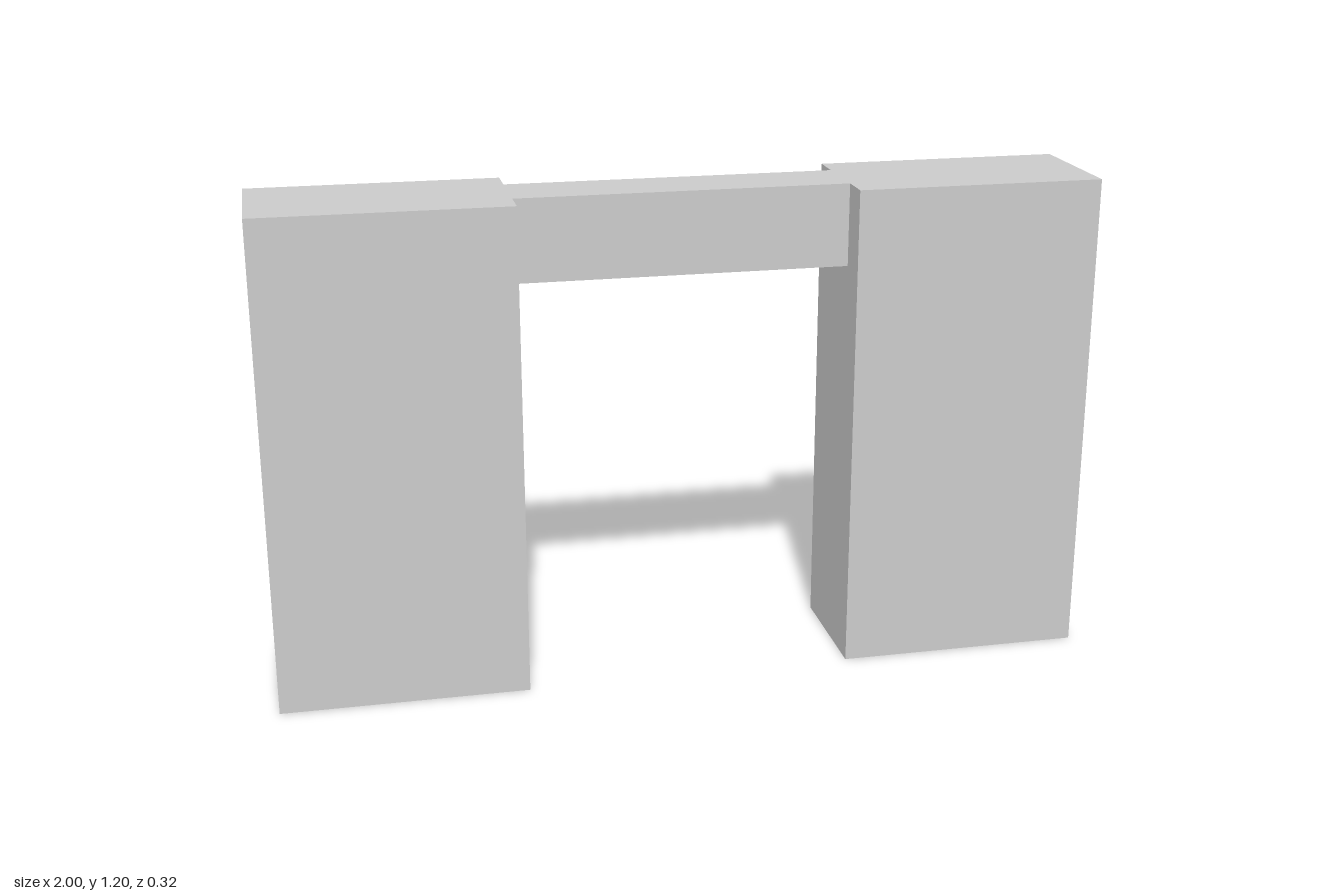
import * as THREE from 'three';

const HEIGHT = 1.2, LEG_W = 0.6, LEG_D = 0.32;
const BEAM_L = 0.8, BEAM_H = 0.2, BEAM_D = 0.16;

const material = new THREE.MeshStandardMaterial({
  color: 0xcccccc, flatShading: true, side: THREE.DoubleSide,
});

// Box with some sides left open (side order: +x, -x, +y, -y, +z, -z)
function openBox(w, h, d, openSides) {
  const geometry = new THREE.BoxGeometry(w, h, d);
  const index = Array.from(geometry.index.array);
  geometry.setIndex(index.filter((_, i) => !openSides.includes(Math.floor(i / 6))));
  geometry.clearGroups();
  return geometry;
}

function addMesh(parent, name, geometry, x, y, z) {
  const mesh = new THREE.Mesh(geometry, material);
  mesh.name = name;
  mesh.position.set(x, y, z);
  parent.add(mesh);
}

// Hollow leg on the +x side, open underneath
function createLeg(name) {
  const leg = new THREE.Group();
  leg.name = name;
  const shell = openBox(LEG_W, HEIGHT, LEG_D, [1, 3]);
  addMesh(leg, 'legShell', shell, (BEAM_L + LEG_W) / 2, HEIGHT / 2, 0);

  // Inner wall, notched at the top where the hollow beam joins
  const a = LEG_D / 2, b = BEAM_D / 2, under = HEIGHT - BEAM_H;
  const outline = [[-a, 0], [a, 0], [a, HEIGHT], [b, HEIGHT],
    [b, under], [-b, under], [-b, HEIGHT], [-a, HEIGHT]];
  const shape = new THREE.Shape(outline.map(([x, y]) => new THREE.Vector2(x, y)));
  const wall = new THREE.ShapeGeometry(shape).rotateY(-Math.PI / 2);
  addMesh(leg, 'innerWall', wall, BEAM_L / 2, 0, 0);
  return leg;
}

export function createModel() {
  const model = new THREE.Group();
  model.name = 'gateway';

  const leftLeg = createLeg('leftLeg');
  const rightLeg = createLeg('rightLeg');
  rightLeg.rotation.y = Math.PI;
  model.add(leftLeg, rightLeg);

  // Narrow beam bridging the legs, flush with their tops
  const beam = openBox(BEAM_L, BEAM_H, BEAM_D, [0, 1]);
  addMesh(model, 'crossBeam', beam, 0, HEIGHT - BEAM_H / 2, 0);
  return model;
}
